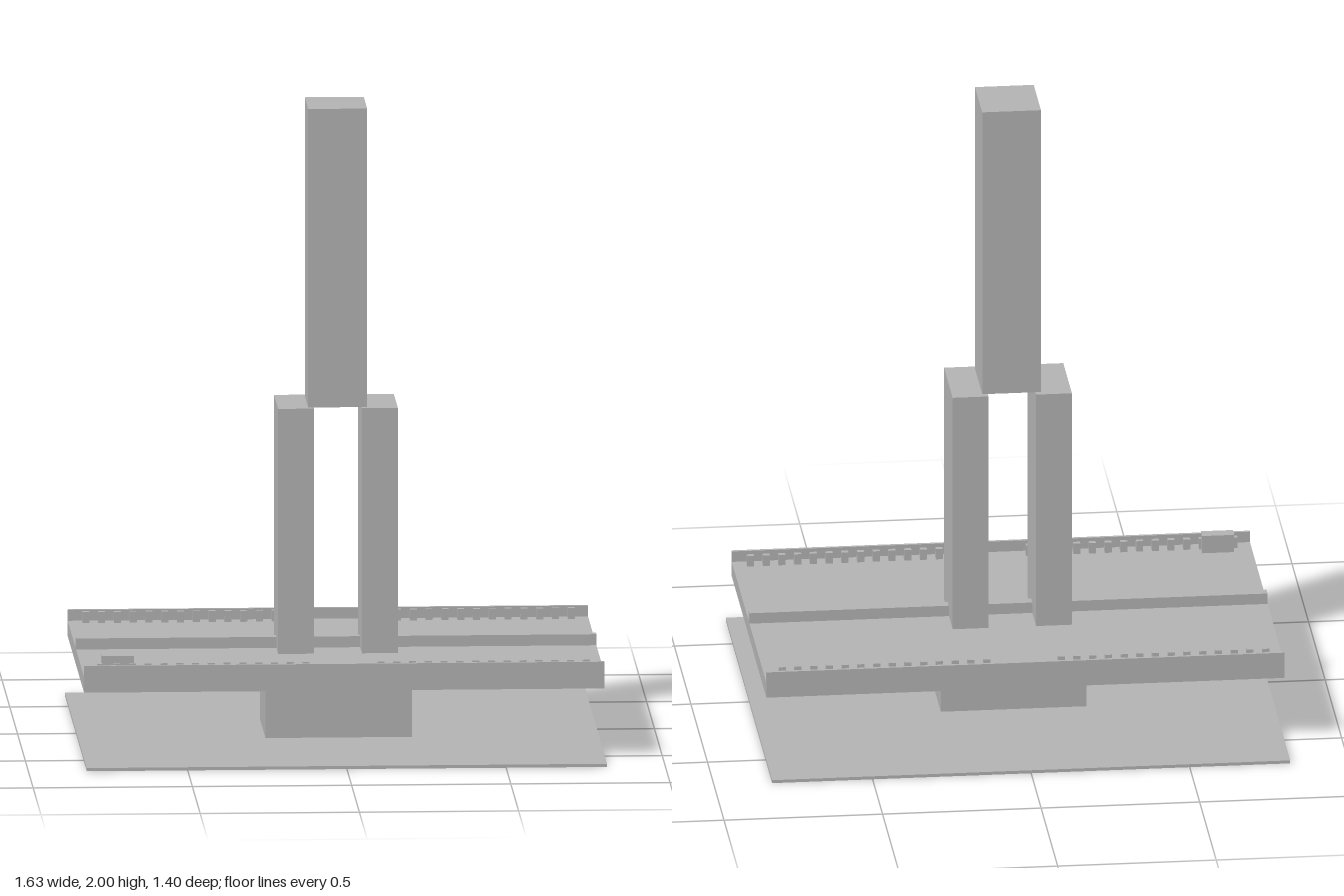
import * as THREE from 'three';

export function createModel() {
  const model = new THREE.Group();
  model.name = 'bridgePylon';
  const concrete = new THREE.MeshStandardMaterial({ color: 0xb3b3b3 });
  concrete.name = 'concrete grey';

  // Box given by its limits on each axis
  function block(name, [x0, x1], [y0, y1], [z0, z1], parent = model) {
    const mesh = new THREE.Mesh(new THREE.BoxGeometry(x1 - x0, y1 - y0, z1 - z0), concrete);
    mesh.position.set((x0 + x1) / 2, (y0 + y1) / 2, (z0 + z1) / 2);
    mesh.name = name;
    parent.add(mesh);
    return mesh;
  }

  const halfX = 0.817;
  const groundZ = 0.7;
  const deckZ = 0.526;
  const deckTop = 0.27;
  const railTop = 0.305;

  // Ground sheet with a fine grid of shallow ribs underneath
  block('groundSheet', [-halfX, halfX], [0.003, 0.01], [-groundZ, groundZ]);
  const ribs = new THREE.Group();
  ribs.name = 'groundRibs';
  model.add(ribs);
  const rib = 0.004;
  for (let i = 0; i <= 24; i++) {
    const x = -halfX + rib + (i / 24) * 2 * (halfX - rib);
    block('lengthRib', [x - rib, x + rib], [0, 0.003], [-groundZ, groundZ], ribs);
  }
  for (let i = 0; i <= 20; i++) {
    const z = -groundZ + rib + (i / 20) * 2 * (groundZ - rib);
    block('crossRib', [-halfX, halfX], [0, 0.003], [z - rib, z + rib], ribs);
  }

  // Pier, road deck and central kerb
  block('pier', [-0.23, 0.23], [0.01, 0.22], [-0.172, 0.172]);
  block('deck', [-halfX, halfX], [0.22, deckTop], [-deckZ, deckZ]);
  block('median', [-halfX, halfX], [deckTop, railTop], [-0.0165, 0.0165]);

  // Paired legs and the tower resting on them
  for (const s of [-1, 1]) {
    const x = s * 0.1315;
    block('leg', [x - 0.0565, x + 0.0565], [deckTop, 1.05], [-0.13, 0.13]);
  }
  block('tower', [-0.0925, 0.0925], [1.05, 2], [-0.109, 0.109]);

  // Edge walls and rows of small stepped posts, with a gap at the tower
  for (const s of [-1, 1]) {
    const span = (a, b) => (s > 0 ? [a, b] : [-b, -a]);
    block('edgeWall', [-halfX, halfX], [deckTop, railTop], span(deckZ - 0.01, deckZ));
    const row = new THREE.Group();
    row.name = 'postRow';
    model.add(row);
    for (const side of [-1, 1]) {
      for (let i = 0; i < 14; i++) {
        const x = side * (0.1175 + i * 0.0496);
        const w = [x - 0.011, x + 0.011];
        block('post', w, [deckTop, railTop], span(0.471, 0.487), row);
        block('postStep', w, [deckTop, 0.283], span(0.487, 0.495), row);
      }
    }
  }

  // Single vehicle parked by the front wall
  block('vehicle', [-0.759, -0.658], [deckTop, 0.328], [0.436, 0.478]);

  return model;
}
